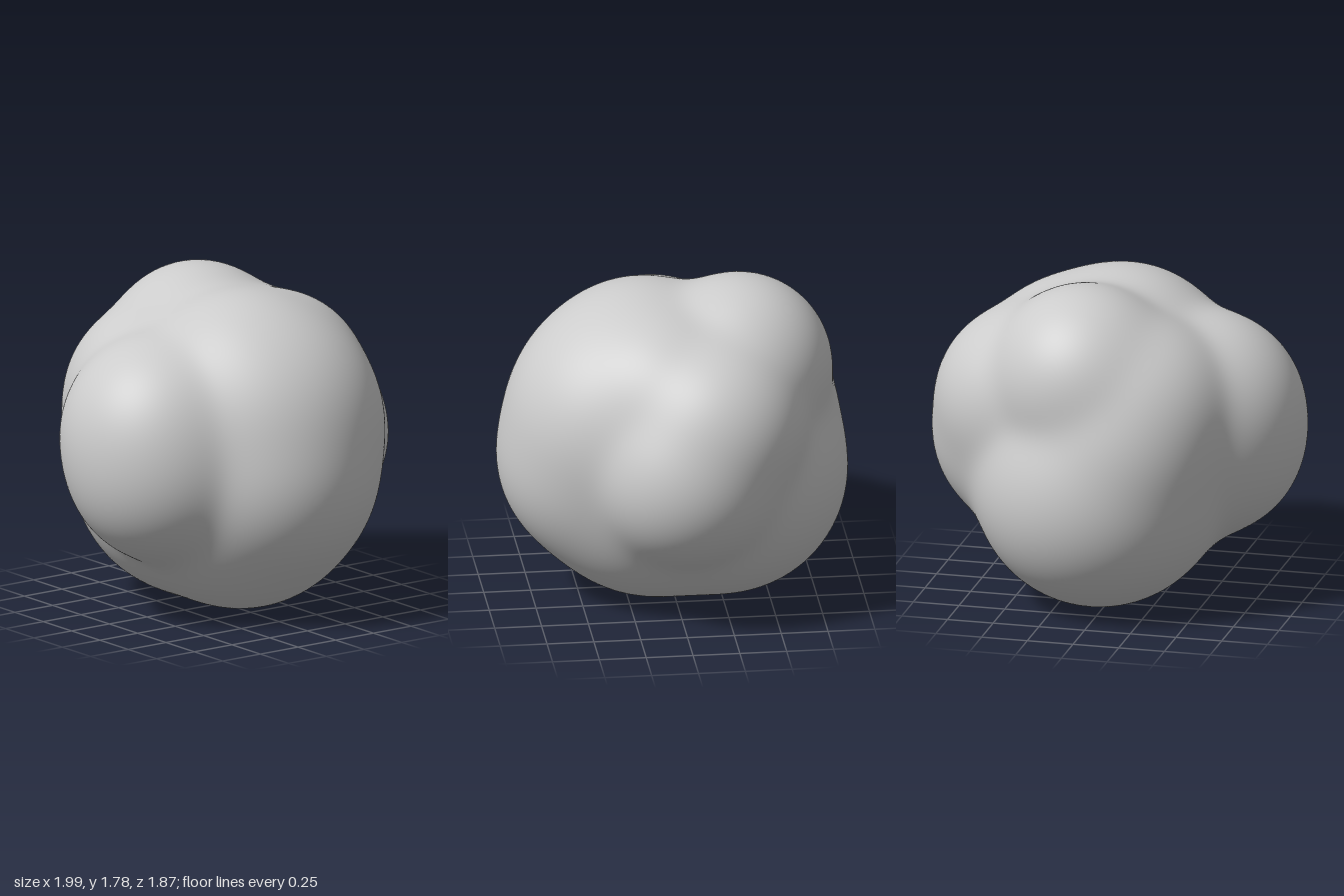
import * as THREE from 'three';
import { mergeVertices } from 'three/addons/utils/BufferGeometryUtils.js';

// Lobes of the lump: centre x, y, z and radius
const LOBES = [
  [0.08, 1.05, 0.24, 0.64],   // front, upper
  [0.04, 0.80, 0.35, 0.57],   // front, lower
  [0.00, 1.18, 0.14, 0.57],   // top
  [0.30, 1.24, 0.08, 0.44],   // left shoulder
  [0.04, 0.68, 0.10, 0.65],   // front underside
  [0.04, 0.70, -0.27, 0.67],  // back underside
  [-0.11, 0.96, -0.35, 0.54], // back
  [-0.20, 1.15, -0.32, 0.48], // right shoulder
  [0.10, 1.31, -0.36, 0.49],  // back top
  [0.45, 1.12, -0.18, 0.49],  // left side, upper back end
  [0.47, 0.88, -0.04, 0.52],  // left side, lower front end
  [-0.46, 1.05, 0.05, 0.52],  // right side, upper half
  [-0.45, 0.87, 0.09, 0.52],  // right side, lower half
].map(([x, y, z, r]) => ({ centre: new THREE.Vector3(x, y, z), r }));

const BLEND = 0.045;
const CORE = new THREE.Vector3(0, 0.9, 0);

// Distance to the softly blended union of all lobes
function distance(p) {
  let sum = 0;
  for (const { centre, r } of LOBES) sum += Math.exp((r - p.distanceTo(centre)) / BLEND);
  return -BLEND * Math.log(sum);
}

// Outermost surface point along a direction from the core
function surfacePoint(dir) {
  const p = new THREE.Vector3();
  let t = 1.4;
  for (let i = 0; i < 60; i++) {
    const d = distance(p.copy(CORE).addScaledVector(dir, t));
    if (Math.abs(d) < 1e-5) break;
    t -= d;
  }
  return p;
}

export function createModel() {
  const group = new THREE.Group();
  group.name = 'lump';

  // Push every vertex of a fine ball onto the blended surface
  let geometry = new THREE.IcosahedronGeometry(1, 44);
  geometry.deleteAttribute('normal');
  geometry.deleteAttribute('uv');
  geometry = mergeVertices(geometry, 1e-4);
  const pos = geometry.attributes.position;
  const dir = new THREE.Vector3();
  for (let i = 0; i < pos.count; i++) {
    const p = surfacePoint(dir.fromBufferAttribute(pos, i).normalize());
    pos.setXYZ(i, p.x, p.y, p.z);
  }

  // Centre it and stand it on the ground
  geometry.center();
  geometry.computeBoundingBox();
  geometry.translate(0, -geometry.boundingBox.min.y, 0);
  geometry.computeVertexNormals();

  const body = new THREE.Mesh(geometry, new THREE.MeshStandardMaterial({ color: 0xcccccc }));
  body.name = 'lumpyBody';
  group.add(body);
  return group;
}
